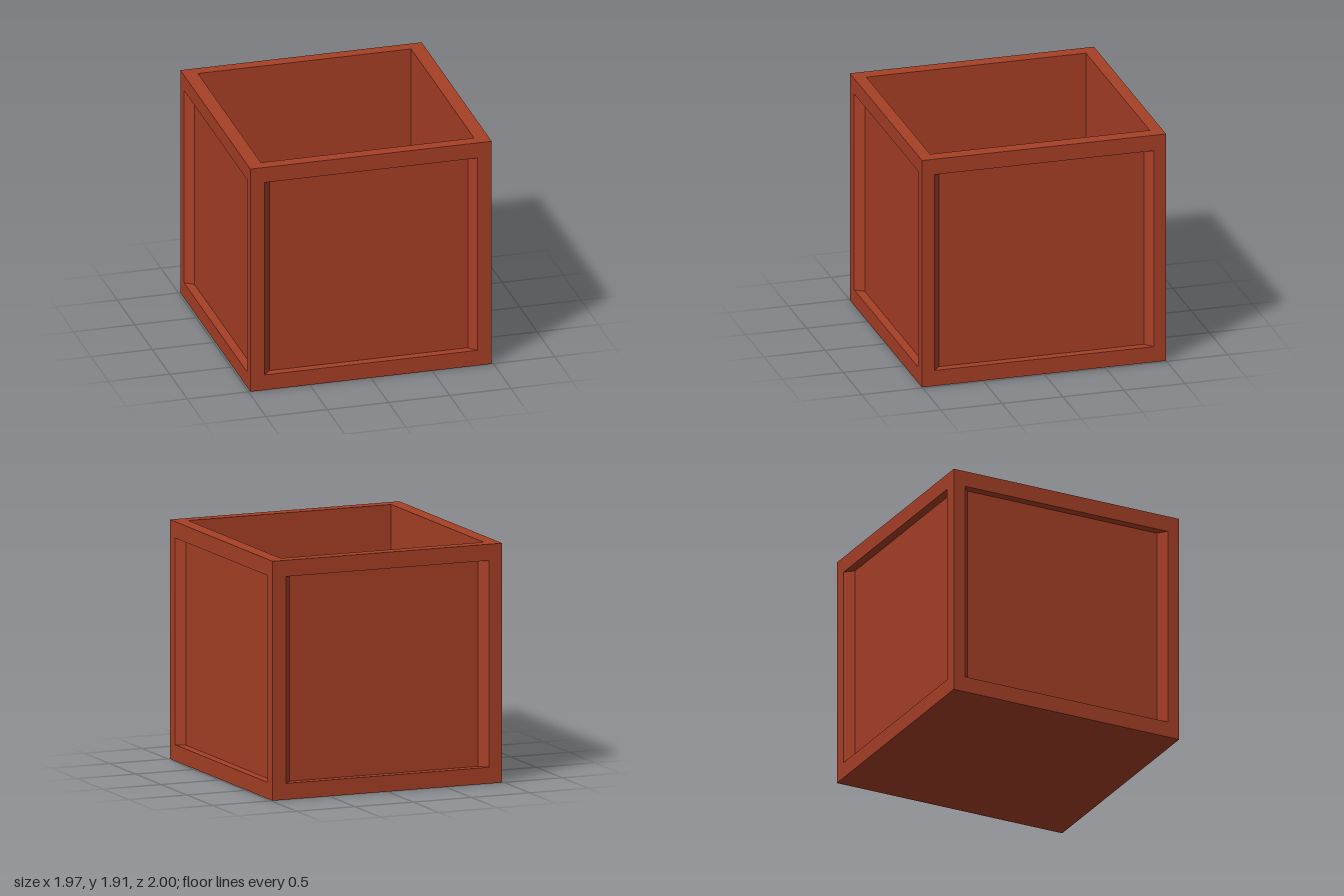
import * as THREE from 'three';

const W = 1.97, H = 1.91, D = 2;      // outer size of the planter box
const OPEN_W = 1.74, OPEN_D = 1.8;    // opening at the top
const FLOOR = 0.13;                   // floor thickness
const RECESS = 0.07, BEVEL = 0.06;    // depth and side slope of the recessed panels

const clay = new THREE.MeshStandardMaterial({ color: 0xa63f26 });
clay.name = 'terracotta';

// Rectangle in the xy plane at depth z, counter-clockwise seen from +z
function rect(w, y0, y1, z) {
  return [[-w / 2, y0, z], [w / 2, y0, z], [w / 2, y1, z], [-w / 2, y1, z]];
}

// Flat faces between successive four-corner loops, closed by a cap on the last
function steppedFace(name, loops) {
  const points = [];
  const quad = (a, b, c, d) => points.push(...a, ...b, ...c, ...a, ...c, ...d);
  for (let k = 0; k < loops.length - 1; k++) {
    const p = loops[k], q = loops[k + 1];
    for (let i = 0; i < 4; i++) {
      const j = (i + 1) % 4;
      quad(p[i], p[j], q[j], q[i]);
    }
  }
  quad(...loops[loops.length - 1]);
  const geometry = new THREE.BufferGeometry();
  geometry.setAttribute('position', new THREE.Float32BufferAttribute(points, 3));
  geometry.computeVertexNormals();
  const mesh = new THREE.Mesh(geometry, clay);
  mesh.name = name;
  return mesh;
}

// Outer wall: frame, recess sides and sunken panel
function wall(name, width, openWidth, distance, angle) {
  const mesh = steppedFace(name, [
    rect(width, 0, H, distance),
    rect(openWidth, 0.13, 1.78, distance),
    rect(openWidth - 2 * BEVEL, 0.13, 1.78, distance - RECESS),
  ]);
  mesh.rotation.y = angle;
  return mesh;
}

export function createModel() {
  const group = new THREE.Group();
  group.name = 'planterBox';

  group.add(
    wall('frontWall', W, 1.74, D / 2, 0),
    wall('leftWall', D, 1.8, W / 2, Math.PI / 2),
    wall('backWall', W, 1.74, D / 2, Math.PI),
    wall('rightWall', D, 1.8, W / 2, -Math.PI / 2),
  );

  // Rim, inner walls and inner floor
  const inside = steppedFace('rimAndInterior', [
    rect(W, -D / 2, D / 2, H),
    rect(OPEN_W, -OPEN_D / 2, OPEN_D / 2, H),
    rect(OPEN_W, -OPEN_D / 2, OPEN_D / 2, FLOOR),
  ]);
  inside.rotation.x = -Math.PI / 2;
  group.add(inside);

  // Underside
  const base = steppedFace('base', [rect(W, -D / 2, D / 2, 0)]);
  base.rotation.x = Math.PI / 2;
  group.add(base);

  return group;
}
